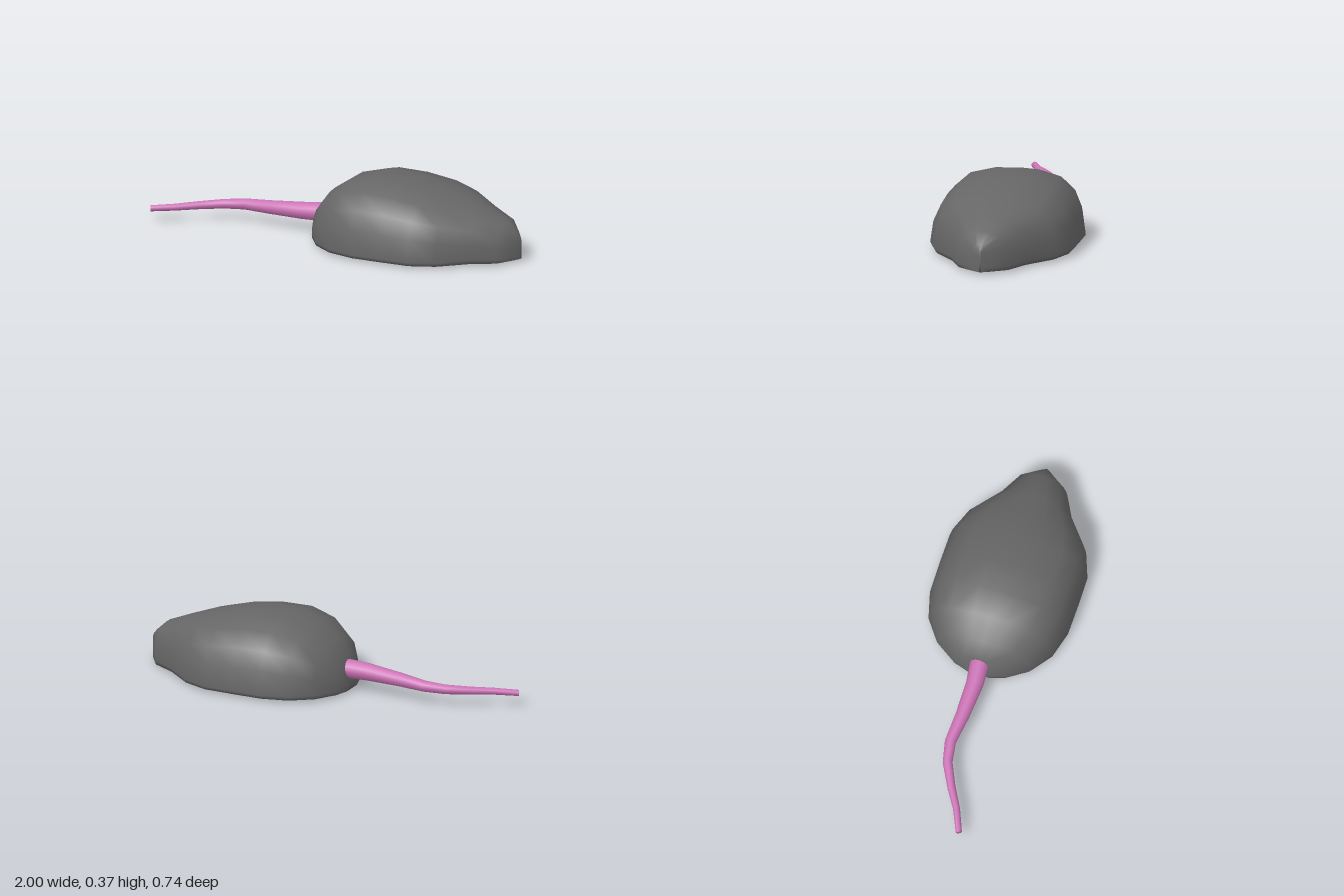
import * as THREE from 'three';

// Skin a list of rings (arrays of [x, y, z]) running toward +x, closing both ends.
function loft(rings) {
  const n = rings[0].length, pos = [], idx = [];
  rings.forEach(r => r.forEach(p => pos.push(...p)));
  for (let i = 0; i < rings.length - 1; i++) {
    for (let j = 0; j < n; j++) {
      const k = (j + 1) % n;
      const a = i * n + j, b = i * n + k, c = b + n, d = a + n;
      idx.push(a, b, c, a, c, d);
    }
  }
  [0, rings.length - 1].forEach(i => {
    const ring = rings[i], centre = pos.length / 3;
    pos.push(...[0, 1, 2].map(c => ring.reduce((s, p) => s + p[c], 0) / n));
    for (let j = 0; j < n; j++) {
      const a = i * n + j, b = i * n + (j + 1) % n;
      if (i) idx.push(centre, a, b); else idx.push(centre, b, a);
    }
  });
  const g = new THREE.BufferGeometry();
  g.setAttribute('position', new THREE.Float32BufferAttribute(pos, 3));
  g.setIndex(idx);
  g.computeVertexNormals();
  return g;
}

// Domed body: [x, half width, top height] from the rump to the nose.
function bodyGeometry() {
  const sections = [
    [-0.133, 0.06, 0.05], [-0.11, 0.14, 0.165], [-0.04, 0.25, 0.255], [0.07, 0.332, 0.33],
    [0.21, 0.37, 0.366], [0.37, 0.372, 0.362], [0.53, 0.37, 0.336], [0.66, 0.32, 0.303],
    [0.8, 0.2, 0.255], [0.92, 0.135, 0.207], [0.975, 0.05, 0.155], [0.998, 0.008, 0.125],
  ];
  const dome = [[0.28, 0.985], [0.63, 0.89], [0.85, 0.68], [0.955, 0.41]];
  const base = 0.012, rim = 0.034;
  return loft(sections.map(([x, w, h]) => {
    const left = dome.map(([u, v]) => [x, Math.max(rim, base + v * (h - base)), u * w]);
    left.push([x, rim, w], [x, base, w * 0.955], [x, base, w * 0.8]);
    const right = left.map(([a, b, c]) => [a, b, -c]).reverse();
    const belly = x === 0.37 ? 0.0 : base;
    return [[x, h, 0], ...left, [x, belly, 0], ...right];
  }));
}

// Tapered, bent tail: [x, y, z, radius] from the tip to the root.
function tailGeometry() {
  const path = [
    [-0.995, 0.066, 0.18, 0.016], [-0.88, 0.073, 0.13, 0.018], [-0.78, 0.079, 0.07, 0.021],
    [-0.66, 0.086, 0.01, 0.025], [-0.55, 0.093, -0.011, 0.029], [-0.4, 0.101, 0.004, 0.036],
    [-0.22, 0.11, 0.011, 0.045], [-0.1, 0.115, 0, 0.05], [-0.04, 0.118, 0, 0.05],
  ];
  const sides = 12;
  return loft(path.map(([x, y, z, r], i) => {
    const a = path[Math.max(i - 1, 0)], b = path[Math.min(i + 1, path.length - 1)];
    const len = Math.hypot(b[0] - a[0], b[2] - a[2]);
    const sx = -(b[2] - a[2]) / len, sz = (b[0] - a[0]) / len;
    return Array.from({ length: sides }, (_, j) => {
      const t = j / sides * Math.PI * 2, s = Math.sin(t) * r;
      return [x + sx * s, y + Math.cos(t) * r, z + sz * s];
    });
  }));
}

export function createModel() {
  const grey = new THREE.MeshStandardMaterial({ color: 0x666666 });
  grey.name = 'grey fur';
  const pink = new THREE.MeshStandardMaterial({ color: 0xcb72b5 });
  pink.name = 'pink skin';

  const model = new THREE.Group();
  model.name = 'mouse';
  const body = new THREE.Mesh(bodyGeometry(), grey);
  body.name = 'body';
  const tail = new THREE.Mesh(tailGeometry(), pink);
  tail.name = 'tail';
  model.add(body, tail);
  return model;
}
